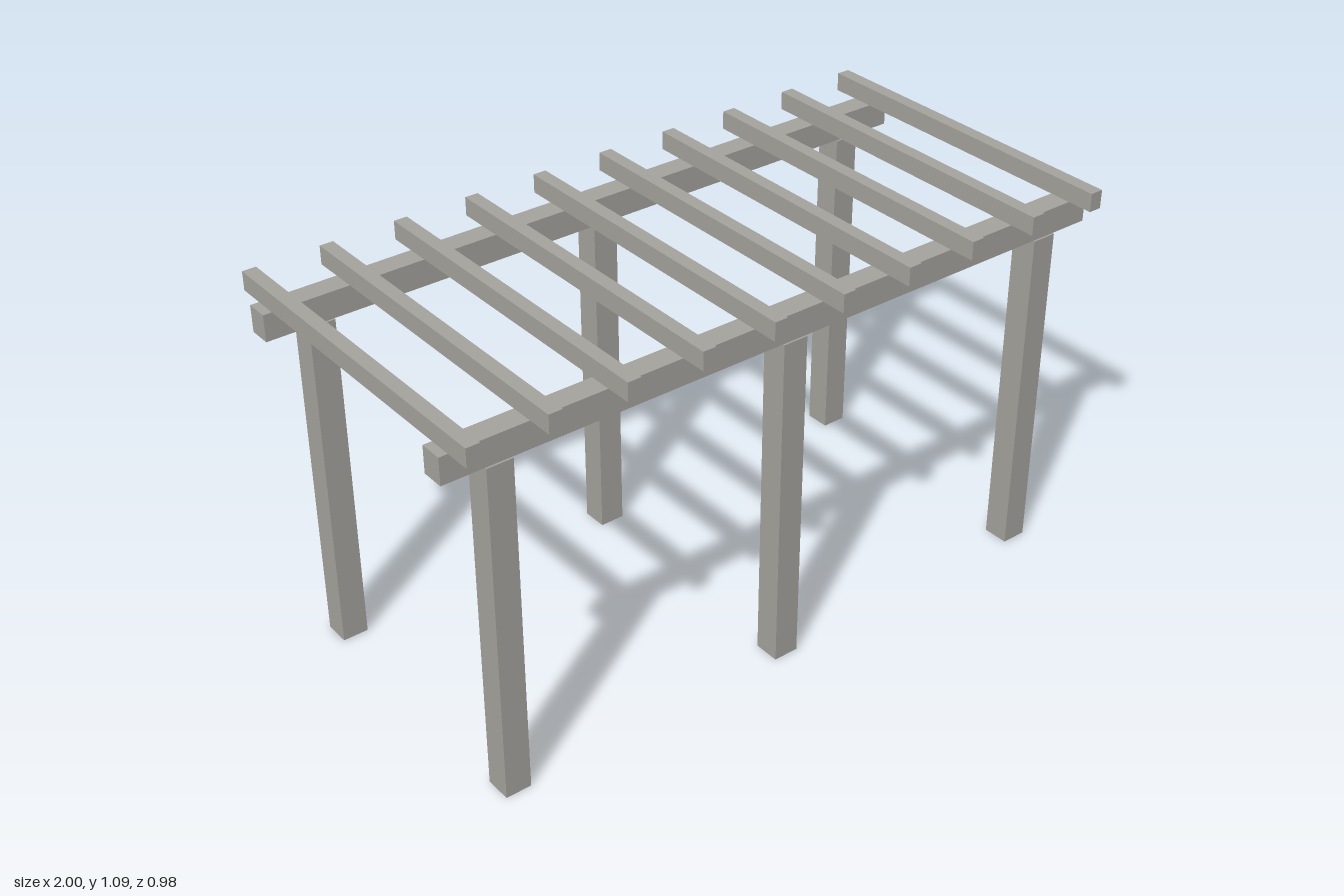
import * as THREE from 'three';

export function createModel() {
  const group = new THREE.Group();
  const timber = new THREE.MeshStandardMaterial({ color: 0xa5a39d, side: THREE.DoubleSide });
  timber.name = 'weathered timber';

  const POST_TOP = 0.96, BEAM_TOP = 1.034, TOP = 1.086, ROW_Z = 0.385;

  function add(name, geometry, x, y, z) {
    const mesh = new THREE.Mesh(geometry, timber);
    mesh.name = name;
    mesh.position.set(x, y, z);
    group.add(mesh);
  }

  // Posts are left open at the foot: drop the bottom face of the box
  const postGeo = new THREE.BoxGeometry(0.072, POST_TOP, 0.074);
  const index = Array.from(postGeo.index.array);
  index.splice(18, 6);
  postGeo.setIndex(index);
  postGeo.clearGroups();

  const beamGeo = new THREE.BoxGeometry(2, BEAM_TOP - POST_TOP, 0.063);
  const rafterGeo = new THREE.BoxGeometry(0.038, TOP - BEAM_TOP, 0.98);

  // Two rows of three posts, each carrying a long beam
  for (const side of [1, -1]) {
    const row = side > 0 ? 'front' : 'back';
    for (const x of [-0.85, 0, 0.85]) add(row + 'Post', postGeo, x, POST_TOP / 2, side * ROW_Z);
    add(row + 'Beam', beamGeo, 0, (POST_TOP + BEAM_TOP) / 2, side * ROW_Z);
  }

  // Ten rafters across the beams
  for (let i = 0; i < 10; i++) {
    add('rafter', rafterGeo, -0.957 + i * (1.914 / 9), (BEAM_TOP + TOP) / 2, 0);
  }

  return group;
}
